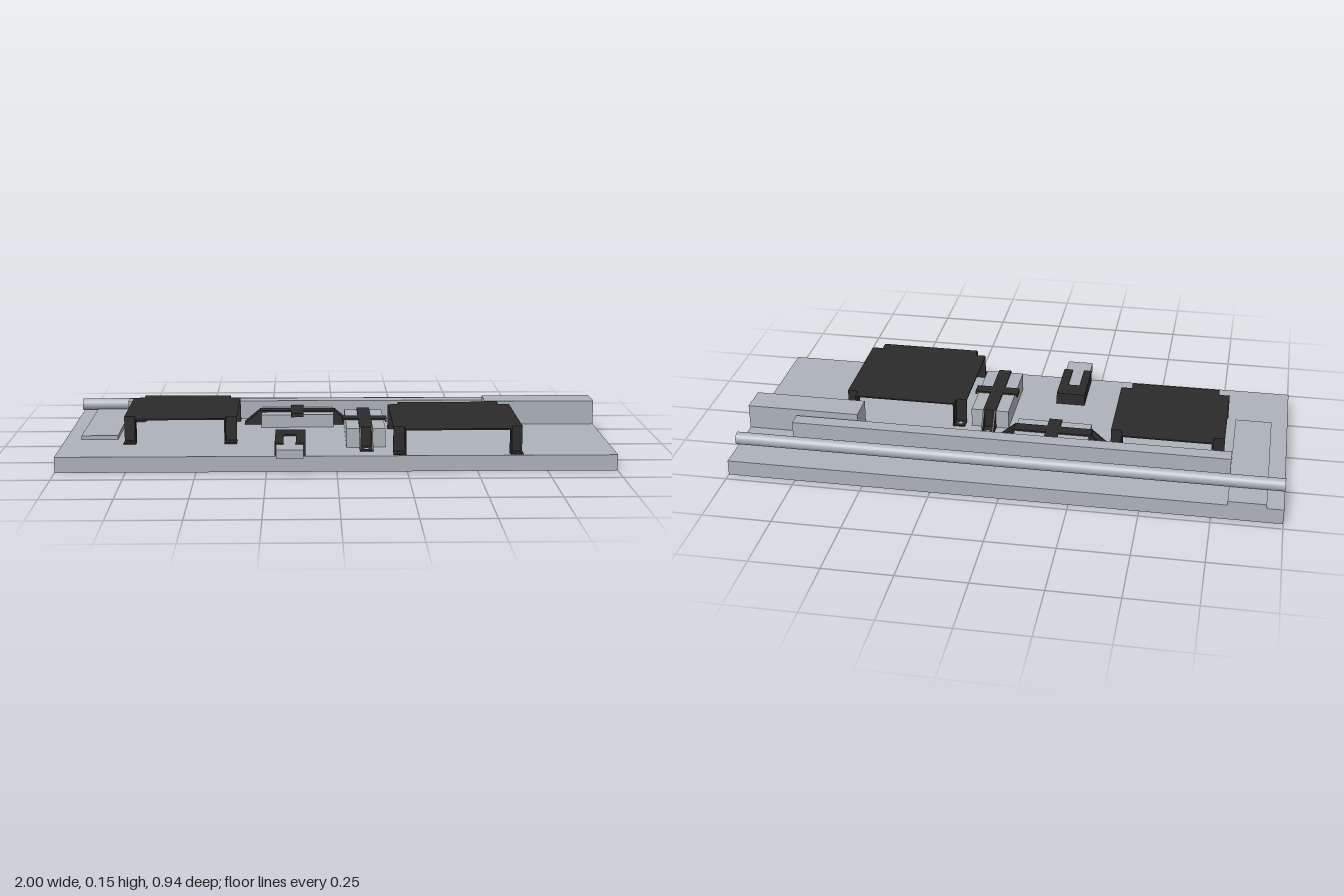
import * as THREE from 'three';

const metal = new THREE.MeshStandardMaterial({ color: 0xadb3bb });
metal.name = 'light grey';
const black = new THREE.MeshStandardMaterial({ color: 0x2b2b2b });
black.name = 'black';

const FLOOR = 0.057; // top of the base board

// Box given by its minimum and maximum corners
function box(parent, name, mat, [x0, y0, z0], [x1, y1, z1]) {
  const m = new THREE.Mesh(new THREE.BoxGeometry(x1 - x0, y1 - y0, z1 - z0), mat);
  m.position.set((x0 + x1) / 2, (y0 + y1) / 2, (z0 + z1) / 2);
  m.name = name;
  parent.add(m);
  return m;
}

// Flat horizontal plate from an outline in x and z, bottom at y
function plate(parent, name, points, y, thick, holes = []) {
  const shape = new THREE.Shape(points.map(([x, z]) => new THREE.Vector2(x, -z)));
  for (const [x, z, r] of holes) {
    shape.holes.push(new THREE.Path().absarc(x, -z, r, 0, Math.PI * 2, true));
  }
  const g = new THREE.ExtrudeGeometry(shape, { depth: thick, bevelEnabled: false, curveSegments: 6 });
  g.rotateX(-Math.PI / 2);
  const m = new THREE.Mesh(g, black);
  m.position.y = y;
  m.name = name;
  parent.add(m);
}

const rect = (x0, z0, x1, z1) => [[x0, z0], [x1, z0], [x1, z1], [x0, z1]];

// Square cover with notched corners, standing on four angle legs with screw feet
function cover(name, x0, x1, z0, z1) {
  const g = new THREE.Group();
  g.name = name;
  const n = 0.04, t = 0.005, top = 0.152;
  const w = (x1 - x0) / 2, d = (z1 - z0) / 2;
  g.position.set((x0 + x1) / 2, 0, (z0 + z1) / 2);
  plate(g, 'coverTop', [
    [-w + n, -d], [w - n, -d], [w - n, -d + n], [w, -d + n],
    [w, d - n], [w - n, d - n], [w - n, d], [-w + n, d],
    [-w + n, d - n], [-w, d - n], [-w, -d + n], [-w + n, -d + n],
  ], top - t, t);
  for (const sx of [-1, 1]) for (const sz of [-1, 1]) {
    const span = (s, a, b) => [Math.min(s * a, s * b), Math.max(s * a, s * b)];
    const [xa, xb] = span(sx, w - n, w), [za, zb] = span(sz, d - n, d);
    const [xi, xj] = span(sx, w - n - t, w - n), [zi, zj] = span(sz, d - n - t, d - n);
    box(g, 'legSide', black, [xi, FLOOR, za], [xj, top - t, zb]);
    box(g, 'legFront', black, [xa, FLOOR, zi], [xb, top - t, zj]);
    plate(g, 'foot', rect(xa, za, xb, zb), FLOOR, t,
      [[sx * (w - n / 2), sz * (d - n / 2), 0.008]]);
  }
  return g;
}

// Cross-shaped strap over a block, built along x: gusseted ends and folded arm tips
function clamp(name, halfLength, halfBlock, halfArm, top) {
  const g = new THREE.Group();
  g.name = name;
  const w = 0.024, t = 0.006;
  box(g, 'strap', black, [-halfBlock - t, top - t, -w], [halfBlock + t, top, w]);
  box(g, 'crossArm', black, [-w, top - t, -halfArm], [w, top, halfArm]);
  for (const s of [-1, 1]) {
    const z = s * (halfArm - t / 2), x = s * (halfBlock + t / 2);
    box(g, 'armTip', black, [-w, top - 0.014, z - t / 2], [w, top, z + t / 2]);
    box(g, 'endWall', black, [x - t / 2, FLOOR, -w], [x + t / 2, top, w]);
    plate(g, 'foot', rect(...(s > 0 ? [halfBlock, -w, halfLength, w] : [-halfLength, -w, -halfBlock, w])),
      FLOOR, t, [[s * (halfLength - 0.022), 0, 0.008]]);
    // Sloping side gussets
    const tri = new THREE.Shape([
      new THREE.Vector2(s * halfBlock, FLOOR),
      new THREE.Vector2(s * halfLength, FLOOR),
      new THREE.Vector2(s * halfLength, FLOOR + t),
      new THREE.Vector2(s * (halfBlock + t), top),
      new THREE.Vector2(s * halfBlock, top),
    ]);
    const geo = new THREE.ExtrudeGeometry(tri, { depth: t, bevelEnabled: false });
    for (const z0 of [-w, w - t]) {
      const m = new THREE.Mesh(geo, black);
      m.position.z = z0;
      m.name = 'gusset';
      g.add(m);
    }
  }
  return g;
}

export function createModel() {
  const model = new THREE.Group();
  model.name = 'equipmentBoard';

  // Base board and the parts lying on it
  box(model, 'baseBoard', metal, [-1, 0, -0.468], [1, FLOOR, 0.4]);
  box(model, 'thinStrip', metal, [-0.94, FLOOR, -0.468], [-0.805, 0.072, 0.132]);
  box(model, 'longBar', metal, [-0.805, FLOOR, -0.273], [0.812, 0.128, -0.217]);
  box(model, 'endBlock', metal, [0.58, FLOOR, -0.208], [1, 0.148, -0.098]);

  // Round rod along the back
  const rod = new THREE.Mesh(new THREE.CylinderGeometry(0.023, 0.023, 2, 32), metal);
  rod.rotation.z = Math.PI / 2;
  rod.position.set(0, 0.089, -0.352);
  rod.name = 'rod';
  model.add(rod);

  // Two raised covers
  model.add(cover('rightCover', -0.776, -0.363, -0.21, 0.21));
  model.add(cover('leftCover', 0.202, 0.664, -0.07, 0.391));

  // Clamped blocks
  box(model, 'rearBlock', metal, [-0.28, FLOOR, -0.2], [-0.004, 0.106, -0.06]);
  const rear = clamp('rearClamp', 0.202, 0.138, 0.079, 0.112);
  rear.position.set(-0.143, 0, -0.131);
  model.add(rear);
  box(model, 'middleBlock', metal, [0.037, FLOOR, -0.054], [0.178, 0.127, 0.27]);
  const middle = clamp('middleClamp', 0.229, 0.162, 0.082, 0.133);
  middle.rotation.y = Math.PI / 2;
  middle.position.set(0.108, 0, 0.107);
  model.add(middle);

  // Forked holder with a plug sticking out over the front edge
  plate(model, 'forkedHolder', [
    [-0.221, 0.176], [-0.112, 0.176], [-0.112, 0.388], [-0.146, 0.388],
    [-0.146, 0.255], [-0.19, 0.255], [-0.19, 0.388], [-0.221, 0.388],
  ], FLOOR, 0.045);
  box(model, 'plug', metal, [-0.215, 0.065, 0.25], [-0.118, 0.097, 0.468]);

  return model;
}
